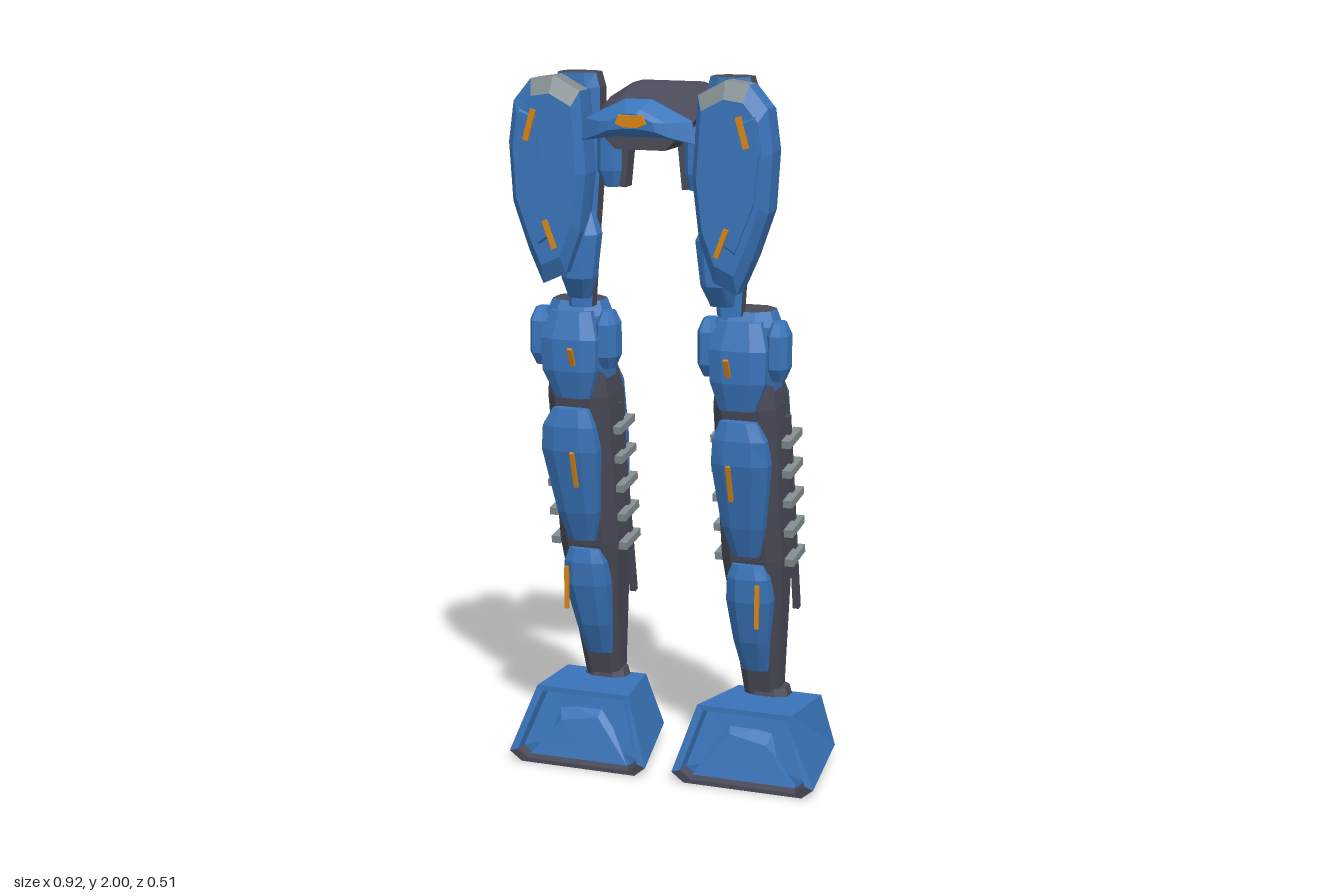
import * as THREE from 'three';

const mat = (name, color) => {
  const m = new THREE.MeshStandardMaterial({ color });
  m.name = name;
  return m;
};

// Closed flat-shaded skin over rings of [x, y, z]; mats is one material,
// or one per ring segment followed by start cap and end cap.
function loft(name, rings, mats, side = 1) {
  const n = rings[0].length, pos = [], starts = [];
  const P = rings.map(r => r.map(p => [p[0] * side, p[1], p[2]]));
  const mid = r => [0, 1, 2].map(k => r.reduce((s, p) => s + p[k], 0) / n);
  const tri = (a, b, c) => pos.push(...a, ...b, ...c);
  for (let i = 0; i < n; i++) {
    starts.push(pos.length / 3);
    const j = (i + 1) % n;
    for (let k = 0; k < P.length - 1; k++) {
      tri(P[k][i], P[k][j], P[k + 1][j]);
      tri(P[k][i], P[k + 1][j], P[k + 1][i]);
    }
  }
  const first = P[0], last = P[P.length - 1];
  starts.push(pos.length / 3);
  for (let i = 0; i < n; i++) tri(first[(i + 1) % n], first[i], mid(first));
  starts.push(pos.length / 3);
  for (let i = 0; i < n; i++) tri(last[i], last[(i + 1) % n], mid(last));
  // turn the skin outwards if its volume is negative
  const c = mid(first), v = [0, 1, 2].map(() => new THREE.Vector3());
  let volume = 0;
  for (let i = 0; i < pos.length; i += 9) {
    v.forEach((q, k) => q.set(pos[i + 3 * k] - c[0], pos[i + 3 * k + 1] - c[1], pos[i + 3 * k + 2] - c[2]));
    volume += v[0].dot(v[1].clone().cross(v[2]));
  }
  if (volume < 0) for (let i = 0; i < pos.length; i += 9)
    for (let k = 3; k < 6; k++) [pos[i + k], pos[i + k + 3]] = [pos[i + k + 3], pos[i + k]];
  const g = new THREE.BufferGeometry();
  g.setAttribute('position', new THREE.Float32BufferAttribute(pos, 3));
  g.computeVertexNormals();
  if (Array.isArray(mats)) starts.forEach((s, i) => g.addGroup(s, (starts[i + 1] ?? pos.length / 3) - s, i));
  const mesh = new THREE.Mesh(g, mats);
  mesh.name = name;
  return mesh;
}

// Chamfered rectangle at height y; segments: 0 +x, 2 front, 4 -x, 6 back
function oct([y, x, z, hx, hz], c = 0.5) {
  return [[1, -c], [1, c], [c, 1], [-c, 1], [-1, c], [-1, -c], [-c, -1], [c, -1]]
    .map(([u, w]) => [x + u * hx, y, z + w * hz]);
}
const octLoft = (name, sections, mats, side, c) => loft(name, sections.map(s => oct(s, c)), mats, side);

// Ring scaled about a point in x and y, moved to depth z
const inset = (outline, cx, cy, s, z) => outline.map(([x, y]) => [cx + (x - cx) * s, cy + (y - cy) * s, z]);

function box(name, size, at, rot, material, side = 1) {
  const m = new THREE.Mesh(new THREE.BoxGeometry(...size), material);
  m.name = name;
  m.position.set(at[0] * side, at[1], at[2]);
  m.rotation.set(rot[0], 0, rot[1] * side);
  return m;
}

export function createModel() {
  const blue = mat('armour blue', 0x3a75bb), dark = mat('frame grey', 0x4b4b59);
  const grey = mat('light metal', 0x828c8f), orange = mat('accent orange', 0xdb8615);
  const model = new THREE.Group();
  model.name = 'mechLegs';
  const upper = new THREE.Group();
  upper.name = 'upperBody';
  upper.position.x = -0.01;
  model.add(upper);

  // pelvis frame
  const hull = (w, top, shoulder, bottom, z, lean) => [[-w * 0.5, bottom, z], [w * 0.5, bottom, z],
    [w, shoulder, z - lean], [w * 0.57, top, z], [-w * 0.57, top, z], [-w, shoulder, z - lean]];
  upper.add(loft('pelvisFrame', [hull(0.155, 1.97, 1.94, 1.83, -0.085, 0.025),
    hull(0.15, 1.97, 1.93, 1.81, 0, 0), hull(0.14, 1.91, 1.88, 1.81, 0.18, 0)], dark));

  // pelvis front armour and its badge-free accent
  const bow = [[-0.165, 1.83], [-0.06, 1.845], [0.06, 1.845], [0.165, 1.83], [0.15, 1.89], [0.035, 1.945], [-0.035, 1.945], [-0.15, 1.89]];
  upper.add(loft('pelvisArmour', [inset(bow, 0, 1.88, 0.9, 0.15), inset(bow, 0, 1.88, 1, 0.19),
    inset(bow, 0, 1.885, 0.62, 0.235), inset(bow, 0, 1.89, 0.4, 0.248)], blue));
  const gem = [[-0.045, 1.885], [-0.02, 1.875], [0.02, 1.875], [0.045, 1.885], [0.035, 1.908], [-0.035, 1.908]];
  upper.add(loft('pelvisAccent', [inset(gem, 0, 1.89, 1, 0.246), inset(gem, 0, 1.89, 0.95, 0.253)], orange));

  for (const side of [1, -1]) {
    const leg = new THREE.Group();
    leg.name = side > 0 ? 'leftLeg' : 'rightLeg';
    upper.add(leg);
    const add = (name, sections, mats, c) => leg.add(octLoft(name, sections, mats, side, c));

    // thigh: dark flanks, blue front and back
    add('thigh', [[1.36, 0.215, 0.055, 0.034, 0.036], [1.5, 0.215, 0.053, 0.042, 0.038], [1.74, 0.217, 0.052, 0.062, 0.045],
      [1.96, 0.217, 0.055, 0.066, 0.048], [2.0, 0.217, 0.055, 0.055, 0.046]],
    [dark, blue, blue, blue, dark, blue, blue, blue, dark, dark]);
    add('thighGuard', [[1.39, 0.205, 0.1, 0.03, 0.015], [1.45, 0.2, 0.115, 0.045, 0.04], [1.57, 0.195, 0.115, 0.055, 0.04],
      [1.63, 0.195, 0.1, 0.03, 0.03]], blue);
    add('outerHipPad', [[1.69, 0.285, 0.048, 0.02, 0.022], [1.73, 0.295, 0.048, 0.035, 0.038], [1.85, 0.295, 0.048, 0.035, 0.038],
      [1.885, 0.285, 0.048, 0.02, 0.022]], blue);
    add('innerHipPad', [[1.695, 0.12, 0.06, 0.02, 0.025], [1.74, 0.125, 0.06, 0.035, 0.04], [1.84, 0.125, 0.06, 0.035, 0.04],
      [1.88, 0.13, 0.06, 0.02, 0.025]], blue);
    leg.add(box('innerHipLink', [0.025, 0.15, 0.05], [0.086, 1.77, 0.05], [0, 0.1], dark, side));

    // large thigh shield with a light metal top
    const outline = [[0.24, 2.0], [0.305, 1.99], [0.355, 1.93], [0.37, 1.82], [0.36, 1.66], [0.315, 1.53],
      [0.275, 1.44], [0.21, 1.47], [0.17, 1.58], [0.15, 1.74], [0.165, 1.96]];
    leg.add(loft('thighShield', [inset(outline, 0.25, 1.74, 0.97, 0.105), inset(outline, 0.25, 1.74, 1, 0.13),
      inset(outline, 0.25, 1.74, 1, 0.19), inset(outline, 0.255, 1.74, 0.82, 0.215)],
    outline.map((_, i) => (i === 0 || i === 10 ? grey : blue)).concat(blue, blue), side));
    const ridge = [[0.33, 1.92], [0.345, 1.82], [0.33, 1.68], [0.275, 1.54], [0.245, 1.56], [0.27, 1.72], [0.28, 1.9]];
    leg.add(loft('shieldRidge', [inset(ridge, 0.3, 1.74, 1, 0.205), inset(ridge, 0.3, 1.74, 0.92, 0.221)], blue, side));
    leg.add(box('shieldAccentUpper', [0.016, 0.085, 0.008], [0.297, 1.87, 0.223], [0, 0.28], orange, side));
    leg.add(box('shieldAccentLower', [0.014, 0.08, 0.008], [0.242, 1.58, 0.226], [0, -0.36], orange, side));

    // knee
    add('knee', [[1.1, 0.245, -0.03, 0.08, 0.07], [1.2, 0.245, -0.005, 0.088, 0.078], [1.33, 0.247, 0, 0.085, 0.075],
      [1.37, 0.247, -0.005, 0.07, 0.058]], [...Array(8).fill(blue), dark, dark]);
    add('kneeCap', [[1.1, 0.24, 0.065, 0.05, 0.02], [1.18, 0.245, 0.075, 0.078, 0.032], [1.27, 0.245, 0.075, 0.082, 0.034],
      [1.345, 0.245, 0.06, 0.06, 0.025]], blue);
    for (const [x, name] of [[0.345, 'kneeOuterPad'], [0.148, 'kneeInnerPad']])
      add(name, [[1.185, x, 0.03, 0.016, 0.025], [1.22, x, 0.03, 0.029, 0.046], [1.31, x, 0.03, 0.029, 0.046],
        [1.345, x, 0.03, 0.016, 0.025]], blue);
    leg.add(box('kneeAccent', [0.014, 0.055, 0.009], [0.225, 1.225, 0.12], [0.45, 0], orange, side));

    // shin frame and calf shell
    add('shinFrame', [[0.19, 0.245, -0.192, 0.05, 0.042], [0.65, 0.245, -0.105, 0.088, 0.085], [1.1, 0.245, -0.04, 0.09, 0.105],
      [1.22, 0.245, -0.015, 0.075, 0.075]], dark, 0.6);
    add('calf', [[0.2, 0.245, -0.215, 0.035, 0.028], [0.42, 0.245, -0.185, 0.06, 0.047], [0.65, 0.245, -0.155, 0.078, 0.06],
      [0.95, 0.245, -0.125, 0.084, 0.065], [1.12, 0.245, -0.1, 0.08, 0.06], [1.22, 0.245, -0.06, 0.055, 0.045]], blue, 0.5);

    // front shin plates
    add('upperShinPlate', [[0.67, 0.245, -0.005, 0.038, 0.018], [0.76, 0.245, 0.02, 0.06, 0.03], [0.95, 0.25, 0.062, 0.082, 0.038],
      [1.02, 0.25, 0.075, 0.075, 0.028], [1.07, 0.245, 0.075, 0.052, 0.018]], blue);
    add('lowerShinPlate', [[0.3, 0.24, -0.115, 0.038, 0.018], [0.4, 0.24, -0.08, 0.05, 0.035], [0.53, 0.245, -0.045, 0.065, 0.042],
      [0.6, 0.245, -0.03, 0.06, 0.035], [0.64, 0.245, -0.025, 0.045, 0.022]], blue);
    leg.add(box('upperShinAccent', [0.012, 0.11, 0.009], [0.228, 0.9, 0.1], [0.3, 0], orange, side));
    leg.add(box('lowerShinAccent', [0.012, 0.125, 0.009], [0.285, 0.53, 0.022], [0, 0], orange, side));

    // cooling bars and long rods on both flanks
    for (const x of [0.352, 0.146]) {
      for (let i = 0; i < 5; i++)
        leg.add(box('coolingBar', [0.026, 0.022, 0.115], [x, 1.0 - i * 0.0875, -0.075 - i * 0.011], [0.13, 0], grey, side));
      const inward = x > 0.245 ? -0.012 : 0.012;
      leg.add(box('flankRod', [0.018, 0.6, 0.02], [x + inward, 0.77, -0.125], [0.2, 0], dark, side));
    }

    // foot: dark sole and heel, blue shell, recessed toe
    const foot = new THREE.Group();
    foot.name = side > 0 ? 'leftFoot' : 'rightFoot';
    model.add(foot);
    const heel = [[0.13, 0.012, -0.25], [0.4, 0.012, -0.25], [0.43, 0.045, -0.257], [0.395, 0.205, -0.225], [0.145, 0.205, -0.225], [0.1, 0.045, -0.257]];
    const toe = [[0.075, 0, 0.065], [0.425, 0, 0.065], [0.46, 0.03, 0.07], [0.385, 0.228, 0.035], [0.105, 0.228, 0.035], [0.04, 0.03, 0.07]];
    const shrink = (s, dz) => toe.map(([x, y, z]) => [0.25 + (x - 0.25) * s, 0.1 + (y - 0.1) * s, z + dz]);
    foot.add(loft('footShell', [heel, toe, shrink(0.88, 0), shrink(0.84, -0.03)],
      [dark, dark, blue, blue, blue, dark, dark, blue], side));
    // faceted ramp inside the toe
    foot.add(loft('toeRamp', [[[0.1, 0.025, 0.01], [0.4, 0.025, 0.01], [0.33, 0.18, 0], [0.19, 0.18, 0]],
      [[0.1, 0.025, 0.058], [0.4, 0.025, 0.058], [0.31, 0.13, 0.035], [0.2, 0.15, 0.03]]], blue, side));
    foot.add(octLoft('ankle', [[0.18, 0.25, -0.18, 0.07, 0.05], [0.235, 0.25, -0.185, 0.055, 0.042]], dark, side));
  }
  return model;
}
